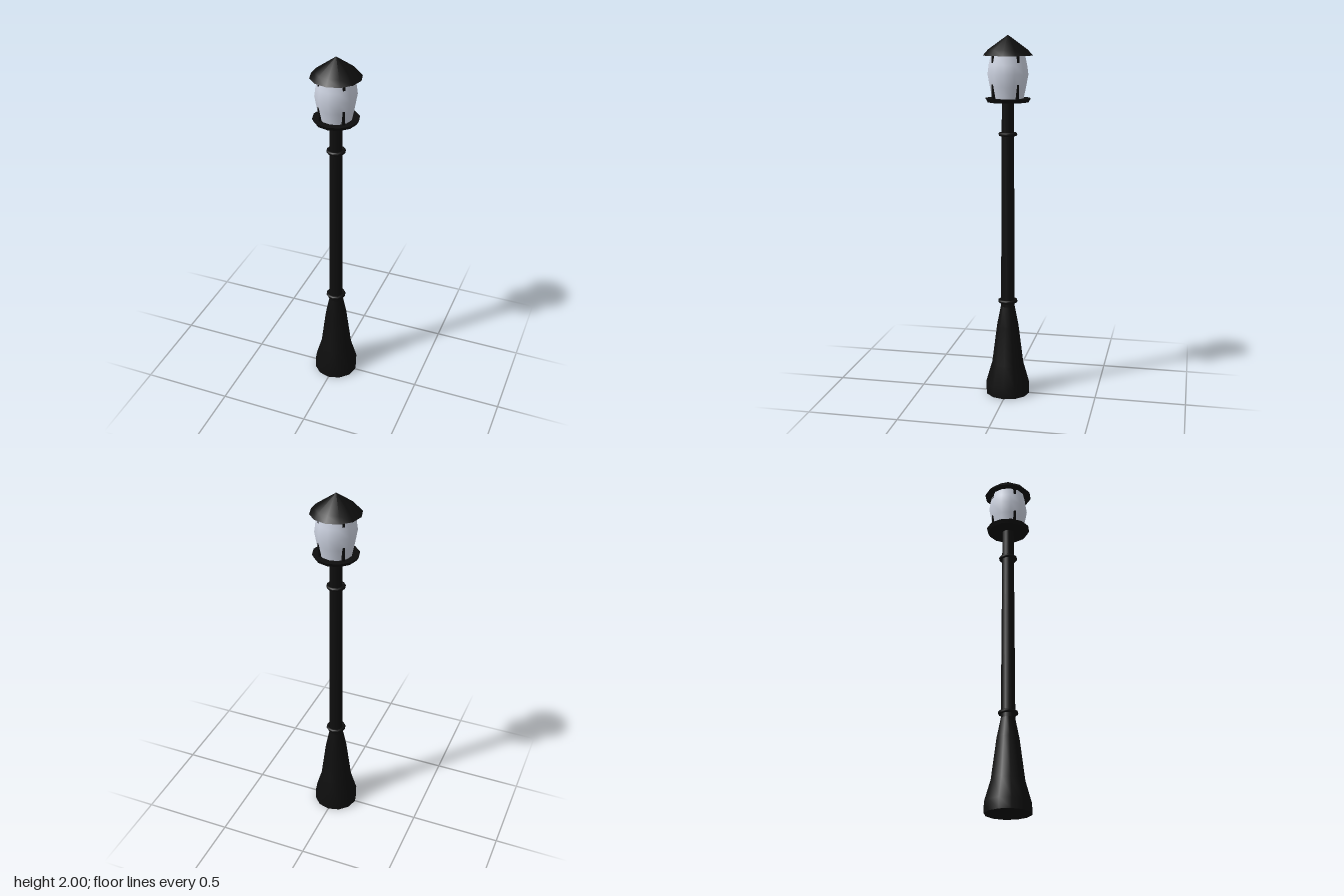
import * as THREE from 'three';
import { toCreasedNormals } from 'three/addons/utils/BufferGeometryUtils.js';

const SIDES = 12;

export function createModel() {
  const model = new THREE.Group();
  model.name = 'streetLamp';

  const iron = new THREE.MeshStandardMaterial({ color: 0x0e0e0e });
  iron.name = 'black iron';
  const frosted = new THREE.MeshStandardMaterial({ color: 0xccd2e0 });
  frosted.name = 'frosted glass';

  function add(name, geometry, material, parent = model) {
    const mesh = new THREE.Mesh(geometry, material);
    mesh.name = name;
    parent.add(mesh);
    return mesh;
  }

  // Turned part from a bottom-to-top profile of [radius, height]
  function turned(name, profile, material) {
    const points = profile.map(([r, y]) => new THREE.Vector2(r, y));
    const geometry = new THREE.LatheGeometry(points, SIDES);
    return add(name, toCreasedNormals(geometry, 0.7), material);
  }

  // Flared foot and tapering pole
  turned('base', [[0, 0], [0.124, 0], [0.124, 0.058], [0.09, 0.175], [0.061, 0.40], [0.039, 0.51], [0, 0.51]], iron);
  turned('pole', [[0.039, 0.50], [0.033, 1.66]], iron);

  // Collar rings on the pole
  for (const [name, y, radius] of [['lowerRing', 0.54, 0.045], ['upperRing', 1.475, 0.042]]) {
    const ring = add(name, new THREE.TorusGeometry(radius, 0.01, 8, SIDES), iron);
    ring.rotation.x = Math.PI / 2;
    ring.position.y = y;
  }

  // Lantern: tray, bulging glass and pointed roof
  turned('tray', [[0, 1.648], [0.113, 1.648], [0.124, 1.668], [0, 1.668]], iron);
  turned('glass', [[0.085, 1.665], [0.099, 1.73], [0.111, 1.795], [0.104, 1.845], [0.092, 1.897]], frosted);
  turned('roof', [[0, 1.893], [0.135, 1.893], [0.108, 1.923], [0, 2]], iron);

  // Straight corner posts, half sunk into the glass
  const posts = new THREE.Group();
  posts.name = 'lanternPosts';
  model.add(posts);
  for (let i = 0; i < 4; i++) {
    const angle = Math.PI / 4 + i * Math.PI / 2;
    const post = add('lanternPost', new THREE.BoxGeometry(0.013, 0.235, 0.014), iron, posts);
    post.position.set(Math.sin(angle) * 0.091, 1.78, Math.cos(angle) * 0.091);
    post.rotation.y = angle;
  }

  return model;
}
